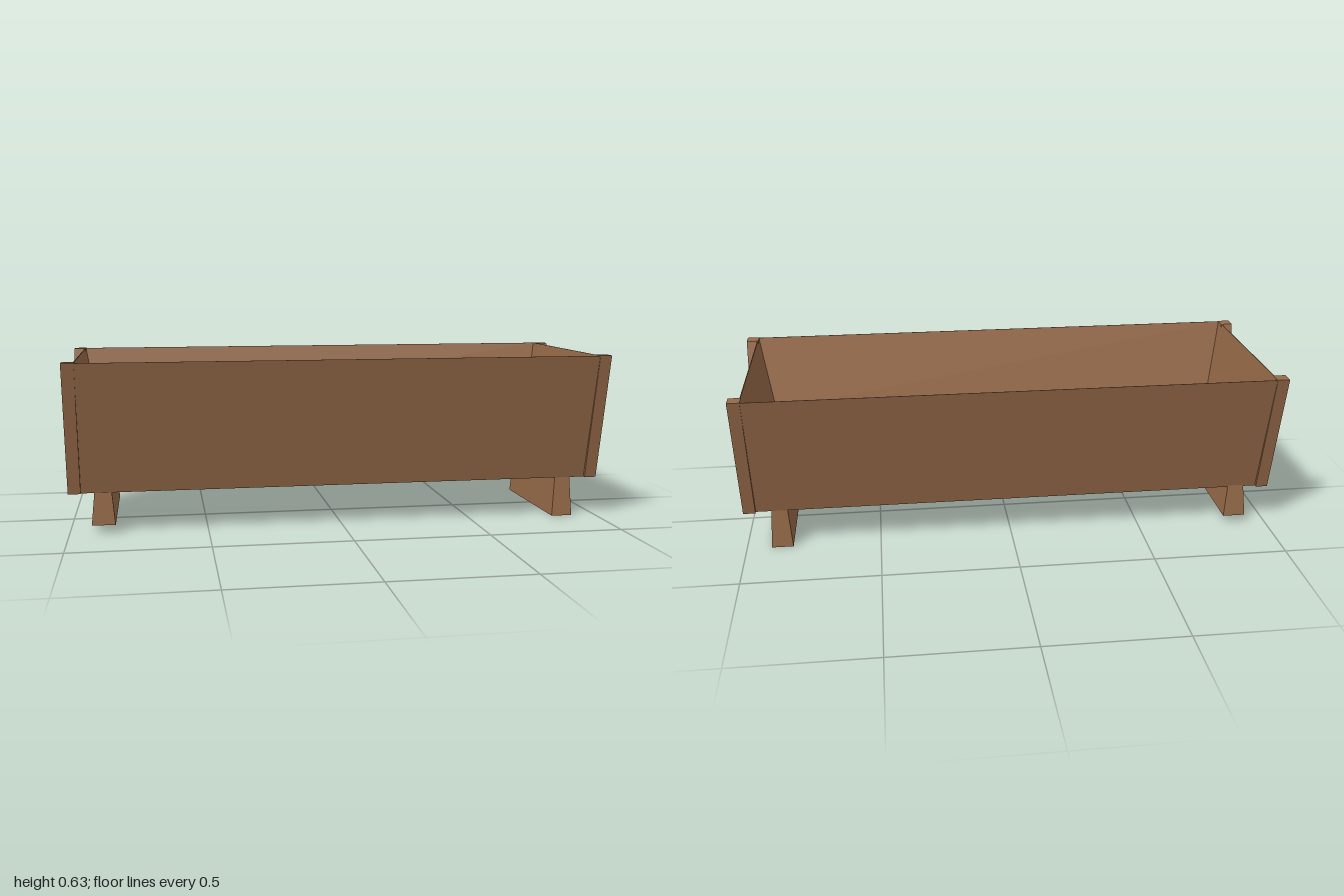
import * as THREE from 'three';

// Closed solid lofted through horizontal rectangles [y, x0, x1, z0, z1]
function loft(rings) {
  const loops = rings.map(([y, x0, x1, z0, z1]) => [
    [x0, y, z1], [x1, y, z1], [x1, y, z0], [x0, y, z0],
  ]);
  const positions = [];
  const quad = (a, b, c, d) => positions.push(...a, ...b, ...c, ...a, ...c, ...d);
  for (let r = 0; r < loops.length - 1; r++) {
    const low = loops[r], high = loops[r + 1];
    for (let i = 0; i < 4; i++) {
      const j = (i + 1) % 4;
      quad(low[i], low[j], high[j], high[i]);
    }
  }
  const first = loops[0], last = loops[loops.length - 1];
  quad(first[3], first[2], first[1], first[0]);
  quad(...last);
  const geometry = new THREE.BufferGeometry();
  geometry.setAttribute('position', new THREE.Float32BufferAttribute(positions, 3));
  geometry.computeVertexNormals();
  return geometry;
}

export function createModel() {
  const model = new THREE.Group();
  model.name = 'trough';
  const wood = new THREE.MeshStandardMaterial({ color: 0x966a48 });
  wood.name = 'brown wood';

  const add = (name, rings) => {
    const mesh = new THREE.Mesh(loft(rings), wood);
    mesh.name = name;
    model.add(mesh);
  };

  // Flared basin: up the outside, over the thin rim, down to the raised floor
  add('basin', [
    [0.15, -0.96, 0.96, -0.242, 0.242],
    [0.63, -0.96, 0.96, -0.36, 0.36],
    [0.63, -0.957, 0.957, -0.358, 0.358],
    [0.345, -0.905, 0.905, -0.287, 0.287],
  ]);

  // Leaning corner posts, mirrored to all four corners
  for (const sx of [-1, 1]) {
    for (const sz of [-1, 1]) {
      const ring = (y, zIn, zOut) => [
        y, Math.min(sx * 0.955, sx), Math.max(sx * 0.955, sx),
        Math.min(sz * zIn, sz * zOut), Math.max(sz * zIn, sz * zOut),
      ];
      const name = (sz > 0 ? 'front' : 'back') + (sx > 0 ? 'Left' : 'Right') + 'Post';
      add(name, [ring(0.15, 0.195, 0.254), ring(0.631, 0.313, 0.362)]);
    }
  }

  // Crosswise feet, wider at the bottom; the right one is a little shorter
  add('leftFoot', [
    [0, 0.828, 0.908, -0.249, 0.249],
    [0.16, 0.84, 0.898, -0.239, 0.239],
  ]);
  add('rightFoot', [
    [0.03, -0.92, -0.835, -0.255, 0.245],
    [0.16, -0.907, -0.847, -0.243, 0.236],
  ]);

  return model;
}
